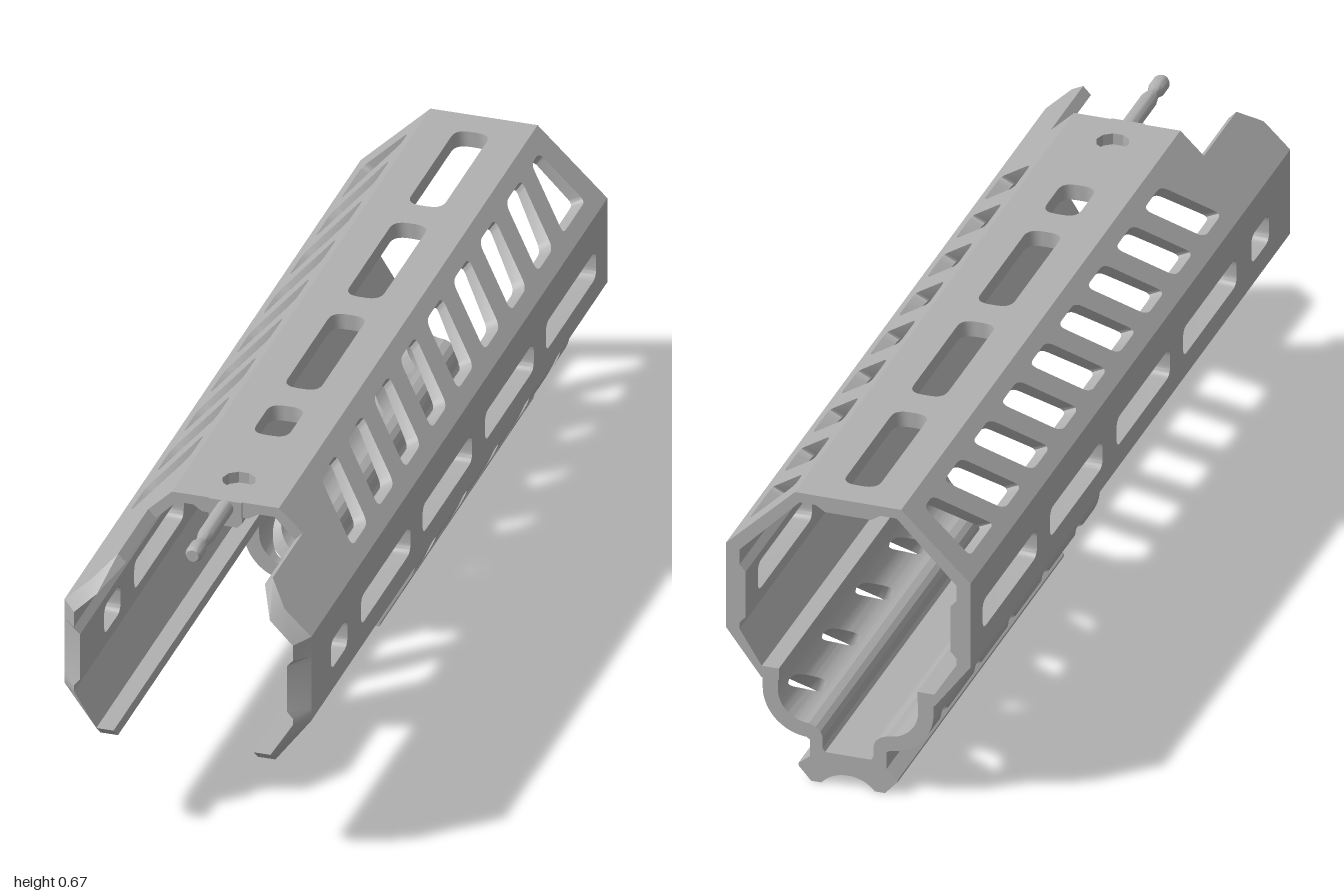
import * as THREE from 'three';
import { mergeGeometries, toCreasedNormals } from 'three/addons/utils/BufferGeometryUtils.js';

const gunmetal = new THREE.MeshStandardMaterial({ color: 0xb0b0b0 });
gunmetal.name = 'satin grey';

// Closed outline with rounded corners
function roundPath(pts, r, path = new THREE.Path()) {
  const v = pts.map(p => new THREE.Vector2(...p));
  v.forEach((p, i) => {
    const a = v[(i + v.length - 1) % v.length], b = v[(i + 1) % v.length];
    const s = p.clone().add(a.clone().sub(p).setLength(r));
    const e = p.clone().add(b.clone().sub(p).setLength(r));
    if (i) path.lineTo(s.x, s.y); else path.moveTo(s.x, s.y);
    path.quadraticCurveTo(p.x, p.y, e.x, e.y);
  });
  path.closePath();
  return path;
}
const polygon = pts => new THREE.Shape(pts.map(p => new THREE.Vector2(...p)));
const slot = (u0, u1, z0, z1, r) => roundPath([[u0, z0], [u1, z0], [u1, z1], [u0, z1]], r);
const span = (p, q) => Math.hypot(q[0] - p[0], q[1] - p[1]);

// Wall between outer edge p0-p1 and inner edge q0-q1; the outline is (distance along p0-p1, z)
function panel(p0, p1, q0, q1, outline, holes = []) {
  outline.holes = holes;
  const g = new THREE.ExtrudeGeometry(outline, { depth: 1, bevelEnabled: false, curveSegments: 5 });
  const L = span(p0, p1), pos = g.attributes.position;
  const mix = THREE.MathUtils.lerp;
  for (let i = 0; i < pos.count; i++) {
    const u = pos.getX(i) / L, z = pos.getY(i), c = pos.getZ(i);
    const chamfer = z > 0.99 && c < 0.5 ? 0.03 : 0;
    pos.setXYZ(i, mix(mix(p0[0], p1[0], u), mix(q0[0], q1[0], u), c),
      mix(mix(p0[1], p1[1], u), mix(q0[1], q1[1], u), c), z - chamfer);
  }
  return g;
}

// Copy reflected in x with the corner order restored
function mirror(geo) {
  const g = geo.clone(), p = g.attributes.position;
  for (let i = 0; i < p.count; i += 3) {
    const t = [0, 2, 1].map(k => new THREE.Vector3().fromBufferAttribute(p, i + k));
    t.forEach((v, k) => p.setXYZ(i + k, -v.x, v.y, v.z));
  }
  return g;
}

export function createModel() {
  const group = new THREE.Group();
  const add = (name, geo, x = 0, y = 0, z = 0) => {
    const m = new THREE.Mesh(geo, gunmetal);
    m.name = name;
    m.position.set(x, y, z);
    group.add(m);
    return m;
  };
  const finish = list => {
    const g = mergeGeometries(list);
    g.deleteAttribute('normal');
    g.deleteAttribute('uv');
    return toCreasedNormals(g, 0.5);
  };
  const addPair = (name, list) => {
    add(name + 'Left', finish(list));
    add(name + 'Right', finish(list.map(mirror)));
  };
  const strip = (p0, p1, q0, q1, z1 = 1, holes = []) => {
    const L = span(p0, p1);
    return panel(p0, p1, q0, q1, polygon([[0, -1], [L, -1], [L, z1], [0, z1]]), holes);
  };

  // Top plate with centre slots and a round hole
  const pin = new THREE.Path();
  pin.absarc(0.05, 0.63, 0.035, 0, Math.PI * 2);
  const topSlots = [[-0.93, -0.6], [-0.52, -0.19], [-0.11, 0.22], [0.3, 0.43]]
    .map(([a, b]) => slot(0.012, 0.088, a, b, 0.03));
  add('topPlate', finish([strip([-0.05, 0.665], [0.05, 0.665], [-0.05, 0.63], [0.05, 0.63], 0.72, [...topSlots, pin])]));

  // Upper slope with slanted vents and a front cut-out
  const slopeA = [0.115, 0.665], slopeB = [0.265, 0.52], L = span(slopeA, slopeB);
  const lo = 0.83 * L, hi = 0.17 * L;
  const vents = [];
  for (let i = 0; i < 8; i++) {
    const z = 0.62 - i * 0.176;
    vents.push(roundPath([[lo, z], [lo, z - 0.105], [hi, z - 0.2], [hi, z - 0.095]], 0.022));
  }
  vents.push(roundPath([[lo, -0.785], [lo, -0.93], [hi, -0.93], [hi, -0.88]], 0.016));
  const slopeOutline = polygon([[0, -1], [L, -1], [L, 1], [0.62 * L, 1], [0.34 * L, 0.92], [0.34 * L, 0.72], [0, 0.72]]);

  // Side slots
  const sideSlots = [[0.73, 0.84], [0.31, 0.64], [-0.1, 0.23], [-0.51, -0.185], [-0.925, -0.59]]
    .map(([a, b]) => slot(0.02, 0.085, a, b, 0.022));

  addPair('shell', [
    strip([0.05, 0.665], [0.07, 0.665], [0.05, 0.63], [0.07, 0.643], 0.72),
    strip([0.07, 0.665], slopeA, [0.07, 0.643], [0.105, 0.643], 0.72),
    panel(slopeA, slopeB, [0.105, 0.643], [0.235, 0.51], slopeOutline, vents),
    strip(slopeB, [0.265, 0.475], [0.235, 0.51], [0.235, 0.475]),
    strip([0.265, 0.475], [0.265, 0.46], [0.235, 0.475], [0.222, 0.46]),
    strip([0.265, 0.46], [0.265, 0.355], [0.222, 0.46], [0.222, 0.355], 1, sideSlots),
    strip([0.265, 0.355], [0.265, 0.34], [0.222, 0.355], [0.235, 0.34]),
    strip([0.265, 0.34], [0.265, 0.325], [0.235, 0.34], [0.235, 0.325]),
    strip([0.265, 0.325], [0.188, 0.222], [0.235, 0.325], [0.187, 0.248]),
    strip([0.188, 0.222], [0.15, 0.222], [0.187, 0.248], [0.15, 0.248]),
  ]);

  // Curved bracket walls, built in strips that are interrupted by slanted slots
  const zFront = 0.025, steps = 20;
  const at = (r, k) => {
    const a = (k / steps) * Math.PI / 2;
    return [0.085 + r * Math.cos(a), 0.2 - r * Math.sin(a)];
  };
  const gap = (i, k) => {
    const t = (k - 2) / 15, s = 2 * t - 1;
    const c = -0.105 + 0.085 * Math.sin(t * Math.PI / 2) - i * 0.207;
    const w = 0.028 * Math.sqrt(Math.max(0, 1 - s ** 4));
    return [c + w, c - w];
  };
  const wall = [panel([0.185, 0.225], [0.185, 0.2], [0.152, 0.225], [0.152, 0.2],
    polygon([[0, -1], [0.025, -1], [0.025, zFront], [0, zFront]]))];
  for (let k = 0; k < steps; k++) {
    const p0 = at(0.1, k), p1 = at(0.1, k + 1), len = span(p0, p1);
    const slotted = k >= 2 && k < 17;
    let top = [zFront, zFront];
    for (let i = 0; i <= (slotted ? 5 : 0); i++) {
      const a = gap(i, k), b = gap(i, k + 1);
      const end = slotted && i < 5 ? [a[0], b[0]] : [-1, -1];
      wall.push(panel(p0, p1, at(0.067, k), at(0.067, k + 1),
        polygon([[0, end[0]], [len, end[1]], [len, top[1]], [0, top[0]]])));
      top = [a[1], b[1]];
    }
  }
  addPair('bracketWall', wall);

  // Rail base with its raised cradle
  const half = [[0.05, 0.072], [0.055, 0.08], [0.055, 0.105], [0.06, 0.118], [0.07, 0.127], [0.085, 0.133],
    [0.09, 0.1], [0.083, 0.095], [0.083, 0.056], [0.108, 0.036], [0.106, 0.028]];
  const section = [...half, ...half.map(([x, y]) => [-x, y]).reverse()];
  const base = new THREE.ExtrudeGeometry(polygon(section), { depth: 1 + zFront, bevelEnabled: false });
  add('railBase', base, 0, 0, -1);

  // Cross teeth under the rail, hollowed in the middle
  const toothHalf = new THREE.Shape();
  toothHalf.moveTo(0.106, 0.029);
  toothHalf.lineTo(0.08, 0);
  toothHalf.lineTo(0.058, 0);
  toothHalf.quadraticCurveTo(0.035, 0.026, 0, 0.026);
  toothHalf.lineTo(0, 0.029);
  const tooth = new THREE.ExtrudeGeometry(toothHalf, { depth: 0.046, bevelEnabled: false, curveSegments: 8 });
  const toothFull = mergeGeometries([tooth, mirror(tooth)]);
  toothFull.computeVertexNormals();
  for (let i = 0; i < 10; i++) add('railTooth', toothFull, 0, 0, -1 + i * 0.103);
  add('railTab', new THREE.BoxGeometry(0.05, 0.012, 0.06), 0, 0.046, 0.025);

  // Front boss, collar and guide rod
  const boss = polygon([[-0.036, 0.64], [-0.036, 0.616], [-0.026, 0.605], [0.026, 0.605], [0.036, 0.616], [0.036, 0.64]]);
  add('rodBoss', new THREE.ExtrudeGeometry(boss, { depth: 0.15, bevelEnabled: false }), 0, 0, 0.571);
  add('rodCollar', new THREE.BoxGeometry(0.072, 0.034, 0.045), 0, 0.648, 0.701);
  const rodProfile = [[0, 0], [0.018, 0], [0.018, 0.13], [0.013, 0.155], [0.013, 0.165], [0.018, 0.18], [0.018, 0.21], [0.013, 0.22], [0, 0.22]];
  const rod = new THREE.LatheGeometry(rodProfile.map(p => new THREE.Vector2(...p)), 20);
  add('guideRod', toCreasedNormals(rod.rotateX(Math.PI / 2), 0.5), 0, 0.648, 0.72);

  return group;
}
